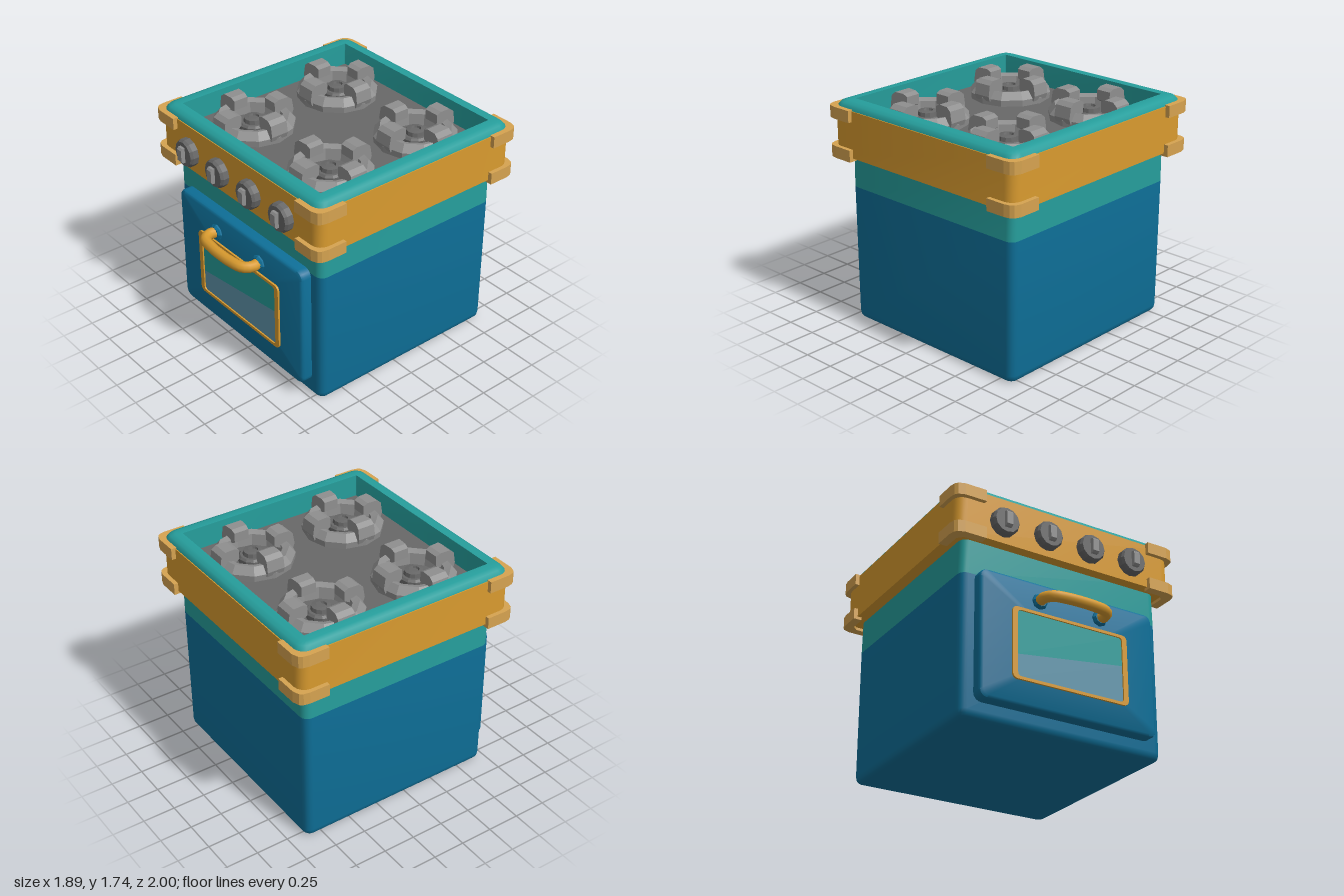
import * as THREE from 'three';
import { toCreasedNormals } from 'three/addons/utils/BufferGeometryUtils.js';

const mat = (name, color) => new THREE.MeshStandardMaterial({ name, color });
const CZ = -0.083; // middle of the cabinet in depth

// Stack of rounded rectangles [halfX, halfZ, cornerRadius, y], optionally capped
function loft(rings, capBottom, capTop, seg = 4) {
  const pos = [], idx = [], n = 4 * (seg + 1);
  for (const [hx, hz, r, y] of rings) {
    for (let q = 0; q < 4; q++) {
      const sx = q === 0 || q === 3 ? 1 : -1, sz = q < 2 ? -1 : 1;
      for (let k = 0; k <= seg; k++) {
        const a = (q + k / seg) * Math.PI / 2;
        pos.push(sx * (hx - r) + r * Math.cos(a), y, sz * (hz - r) - r * Math.sin(a));
      }
    }
  }
  for (let i = 0; i < rings.length - 1; i++) for (let j = 0; j < n; j++) {
    const a = i * n + j, b = i * n + (j + 1) % n;
    idx.push(a, b, b + n, a, b + n, a + n);
  }
  const cap = (ring, up) => {
    const c = pos.length / 3;
    pos.push(0, rings[ring][3], 0);
    for (let j = 0; j < n; j++) {
      const a = ring * n + j, b = ring * n + (j + 1) % n;
      if (up) idx.push(c, a, b); else idx.push(c, b, a);
    }
  };
  if (capBottom) cap(0, false);
  if (capTop) cap(rings.length - 1, true);
  const g = new THREE.BufferGeometry();
  g.setAttribute('position', new THREE.Float32BufferAttribute(pos, 3));
  g.setIndex(idx);
  return toCreasedNormals(g, 0.7);
}

function roundedRect(T, hx, hy, r) {
  const s = new T();
  s.moveTo(-hx + r, -hy);
  s.lineTo(hx - r, -hy); s.quadraticCurveTo(hx, -hy, hx, -hy + r);
  s.lineTo(hx, hy - r); s.quadraticCurveTo(hx, hy, hx - r, hy);
  s.lineTo(-hx + r, hy); s.quadraticCurveTo(-hx, hy, -hx, hy - r);
  s.lineTo(-hx, -hy + r); s.quadraticCurveTo(-hx, -hy, -hx + r, -hy);
  return s;
}

const polygon = pts => new THREE.Shape(pts.map(p => new THREE.Vector2(...p)));
const lathe = (pts, sides) =>
  toCreasedNormals(new THREE.LatheGeometry(pts.map(p => new THREE.Vector2(...p)), sides), 0.3);

export function createModel() {
  const blue = mat('blue enamel', 0x0e7099), teal = mat('teal enamel', 0x269e9c);
  const gold = mat('gold', 0xd99b2f), paleGold = mat('pale gold', 0xd6a350);
  const darkGrey = mat('dark grey iron', 0x686868), lightGrey = mat('light grey iron', 0x8f8f8f);
  const glass = mat('glass reflection', 0x6096ac);

  const root = new THREE.Group();
  root.name = 'stove';
  const add = (name, geo, m, x = 0, y = 0, z = 0, parent = root) => {
    const mesh = new THREE.Mesh(geo, m);
    mesh.name = name;
    mesh.position.set(x, y, z);
    parent.add(mesh);
    return mesh;
  };

  // Cabinet in two tones
  add('lowerBody', loft([[0.785, 0.755, 0.03, 0], [0.808, 0.778, 0.045, 0.008], [0.822, 0.792, 0.055, 0.025],
    [0.827, 0.798, 0.06, 0.055], [0.83, 0.8, 0.06, 1.065]], true, false), blue, 0, 0, CZ);
  add('upperBody', loft([[0.83, 0.8, 0.06, 1.065], [0.825, 0.8, 0.06, 1.4]], false, true), teal, 0, 0, CZ);

  // Control band and the cooktop rim above it
  add('controlBand', loft([[0.8, 0.77, 0.06, 1.325], [0.915, 0.883, 0.08, 1.325],
    [0.915, 0.883, 0.08, 1.68], [0.85, 0.82, 0.06, 1.68]], false, false), gold, 0, 0, CZ);
  add('cooktopRim', loft([[0.91, 0.878, 0.08, 1.67], [0.905, 0.873, 0.08, 1.695], [0.885, 0.853, 0.07, 1.718],
    [0.85, 0.82, 0.05, 1.73], [0.79, 0.768, 0.005, 1.73], [0.79, 0.768, 0.005, 1.54]], false, false), teal, 0, 0, CZ);
  add('cooktopFloor', new THREE.BoxGeometry(1.6, 0.04, 1.55), darkGrey, 0, 1.535, CZ);

  // Corner brackets, two heights on every corner
  for (const sx of [-1, 1]) for (const sz of [-1, 1]) {
    const outline = polygon([[0.7, 0.917], [0.87, 0.917], [0.92, 0.9], [0.938, 0.875], [0.947, 0.83], [0.947, 0.675],
      [0.88, 0.675], [0.88, 0.81], [0.84, 0.85], [0.7, 0.85]].map(([x, z]) => [x * sx, z * sz]));
    for (const top of [1.392, 1.69]) {
      const g = new THREE.ExtrudeGeometry(outline, { depth: 0.09, bevelEnabled: false });
      g.rotateX(Math.PI / 2);
      add('cornerBracket', g, paleGold, 0, top, CZ);
    }
  }

  // Knobs
  for (const x of [-0.548, -0.183, 0.18, 0.545]) {
    const knob = new THREE.Group();
    knob.name = 'knob';
    knob.position.set(x, 1.48, 0.79);
    const dial = lathe([[0.108, 0], [0.108, 0.055], [0.095, 0.075], [0, 0.075]], 12);
    add('knobDial', dial.rotateX(Math.PI / 2), darkGrey, 0, 0, 0, knob);
    const grip = new THREE.ExtrudeGeometry(
      polygon([[0.06, -0.06], [0.06, 0.06], [0.095, 0.06], [0.108, 0.045], [0.108, -0.045], [0.095, -0.06]]),
      { depth: 0.05, bevelEnabled: false });
    grip.translate(0, 0, -0.025).rotateY(-Math.PI / 2);
    add('knobGrip', grip, lightGrey, 0, 0, 0, knob);
    root.add(knob);
  }

  // Oven door
  const door = loft([[0.725, 0.485, 0.06, 0.7], [0.725, 0.485, 0.06, 0.775], [0.718, 0.478, 0.055, 0.793],
    [0.7, 0.46, 0.045, 0.803]], false, true);
  add('ovenDoor', door.rotateX(Math.PI / 2), blue, 0, 0.605, 0);

  // Window frame with two-tone glass
  const frame = roundedRect(THREE.Shape, 0.478, 0.272, 0.045);
  frame.holes.push(roundedRect(THREE.Path, 0.437, 0.25, 0.03));
  add('windowFrame', new THREE.ExtrudeGeometry(frame, { depth: 0.02, bevelEnabled: false }), gold, 0, 0.58, 0.798);
  add('windowGlass', new THREE.ShapeGeometry(polygon(
    [[-0.45, 0.495], [0.45, 0.615], [0.45, 0.84], [-0.45, 0.84]])), teal, 0, 0, 0.807);
  add('windowReflection', new THREE.ShapeGeometry(polygon(
    [[-0.45, 0.32], [0.45, 0.32], [0.45, 0.615], [-0.45, 0.495]])), glass, 0, 0, 0.807);

  // Door handle and its mounts
  const path = new THREE.CatmullRomCurve3([[-0.25, 0.8], [-0.262, 0.87], [-0.22, 0.93], [-0.11, 0.953], [0, 0.958],
    [0.11, 0.953], [0.22, 0.93], [0.262, 0.87], [0.25, 0.8]].map(([x, z]) => new THREE.Vector3(x, 0, z)));
  add('doorHandle', new THREE.TubeGeometry(path, 24, 0.041, 10), gold, 0, 0.94, 0);
  for (const x of [-0.252, 0.252]) {
    const mount = lathe([[0.06, 0], [0.06, 0.02], [0.045, 0.036], [0, 0.036]], 8);
    add('handleMount', mount.rotateX(Math.PI / 2), blue, x, 0.94, 0.795);
  }

  // Burners: iron ring, four prongs and a stepped cap
  const ring = lathe([[0.305, 0], [0.31, 0.05], [0.265, 0.105], [0.215, 0.09], [0.205, 0]], 12);
  const prong = new THREE.ExtrudeGeometry(
    polygon([[0.15, 0.09], [0.22, 0.05], [0.3, 0.03], [0.314, 0.07], [0.3, 0.155], [0.265, 0.183], [0.185, 0.183], [0.15, 0.165]]),
    { depth: 0.14, bevelEnabled: false });
  prong.translate(0, 0, -0.07);
  const p = prong.attributes.position;
  for (let i = 0; i < p.count; i++) p.setZ(i, p.getZ(i) * (0.7 + p.getX(i))); // narrower toward the middle
  prong.computeVertexNormals();
  const cap = lathe([[0.11, 0], [0.11, 0.04], [0.095, 0.055], [0.075, 0.055], [0.07, 0.085], [0.04, 0.09],
    [0.035, 0.075], [0, 0.075]], 12);
  for (const x of [-0.44, 0.437]) for (const z of [-0.48, 0.31]) {
    const burner = new THREE.Group();
    burner.name = 'burner';
    burner.position.set(x, 1.553, z);
    add('burnerRing', ring, lightGrey, 0, 0, 0, burner);
    add('burnerCap', cap, darkGrey, 0, 0, 0, burner);
    for (let k = 0; k < 4; k++) add('burnerProng', prong, lightGrey, 0, 0, 0, burner).rotation.y = k * Math.PI / 2;
    root.add(burner);
  }
  return root;
}
